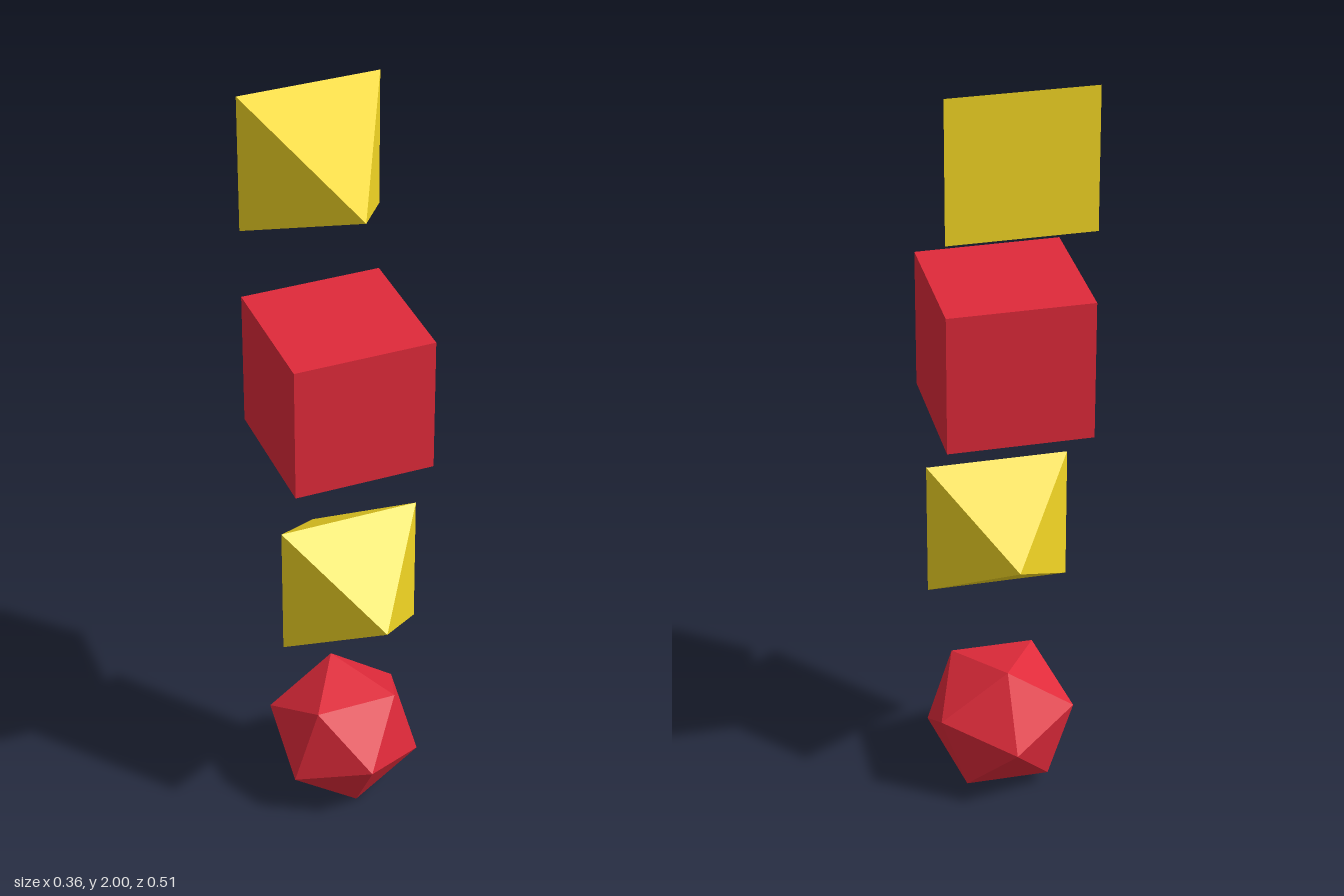
import * as THREE from 'three';

export function createModel() {
  const group = new THREE.Group();
  const yellow = new THREE.MeshStandardMaterial({ color: 0xf5d824, flatShading: true });
  const red = new THREE.MeshStandardMaterial({ color: 0xe02a3a, flatShading: true });

  const size = 0.36;                  // shared edge length
  const radius = size / Math.SQRT2;   // centre to corner of a square

  function add(name, geometry, material, x, y, z) {
    const mesh = new THREE.Mesh(geometry, material);
    mesh.name = name;
    mesh.position.set(x, y, z);
    group.add(mesh);
  }

  // Square pyramid lying with its apex to the front
  const pyramid = new THREE.ConeGeometry(radius, size, 4)
    .rotateY(Math.PI / 4)
    .rotateX(Math.PI / 2);
  add('pyramid', pyramid, yellow, 0, 1.82, -0.075);

  // Cube
  add('cube', new THREE.BoxGeometry(size, size, size), red, 0, 1.275, -0.075);

  // Octahedron with its tips to front and back
  const octahedron = new THREE.OctahedronGeometry(radius).rotateZ(Math.PI / 4);
  add('octahedron', octahedron, yellow, 0, 0.732, 0);

  // Icosahedron turned so that one corner faces the front
  const golden = (1 + Math.sqrt(5)) / 2;
  const icosahedron = new THREE.IcosahedronGeometry(0.2035).rotateX(Math.atan(1 / golden));
  add('icosahedron', icosahedron, red, 0.005, 0.183, -0.052);

  return group;
}
